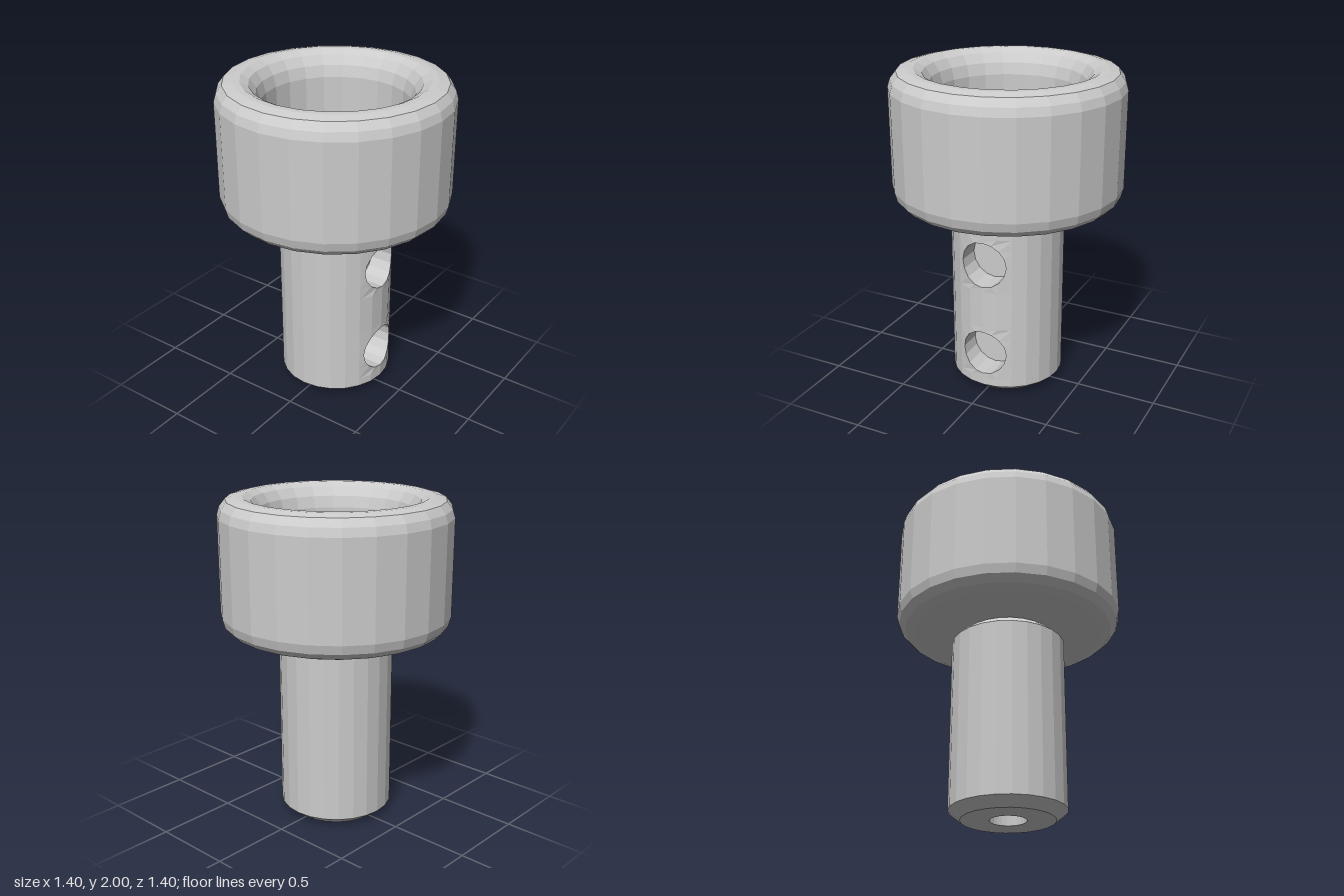
import * as THREE from 'three';
import { mergeGeometries } from 'three/addons/utils/BufferGeometryUtils.js';

const material = new THREE.MeshStandardMaterial({ color: 0xcccccc, flatShading: true });
const SEG = 24, STEP = (Math.PI * 2) / SEG;
const R = 0.35; // stem radius
const HALF = R * Math.sin(2 * STEP); // half size of the patch around a side hole

const lathe = (points, first = 0, count = SEG) => new THREE.LatheGeometry(
  points.map(([r, y]) => new THREE.Vector2(r, y)), count, first * STEP, count * STEP);

const mesh = (name, geometry) => {
  const m = new THREE.Mesh(geometry, material);
  m.name = name;
  return m;
};

// Joins loops of equal length, each running anticlockwise seen from +z
function loft(loops) {
  const n = loops[0].length, index = [];
  for (let k = 0; k < loops.length - 1; k++) {
    for (let i = 0; i < n; i++) {
      const j = (i + 1) % n, a = k * n + i, b = k * n + j;
      index.push(a, b, b + n, a, b + n, a + n);
    }
  }
  const g = new THREE.BufferGeometry();
  g.setAttribute('position', new THREE.Float32BufferAttribute(loops.flat(2), 3));
  g.setIndex(index);
  g.computeVertexNormals();
  return g;
}

// Square piece of the stem wall with a blind round hole in it
function holePatch(cy) {
  const onWall = (x, y) => [x, y, Math.sqrt(R * R - x * x)];
  const mid = R * Math.sin(STEP), square = [], rim = [], floor = [], centre = [];
  const steps = [0, mid, HALF, HALF, HALF, HALF, HALF, mid]; // quarter-symmetric walk
  const coord = i => {
    const k = ((i % 16) + 16) % 16;
    return k <= 2 ? HALF : k === 3 ? mid : k === 4 ? 0 : k === 5 ? -mid
      : k <= 10 ? -HALF : k === 11 ? -mid : k === 12 ? 0 : k === 13 ? mid : HALF;
  };
  for (let i = 0; i < 16; i++) {
    const a = (i * Math.PI) / 8, x = 0.145 * Math.cos(a), y = cy + 0.145 * Math.sin(a);
    square.push(onWall(coord(i), cy + coord(i - 4)));
    rim.push(onWall(x, y));
    floor.push([x, y, 0.18]);
    centre.push([0, cy, 0.18]);
  }
  return loft([square, rim, floor, centre]);
}

export function createModel() {
  const model = new THREE.Group();
  model.name = 'socketScrew';

  // Rounded cup head with a deep round socket and a small chamfered bore
  model.add(mesh('head', lathe([
    [0.11, 1.185], [0.59, 1.185], [0.645, 1.205], [0.685, 1.245], [0.7, 1.3],
    [0.7, 1.89], [0.685, 1.94], [0.65, 1.985], [0.59, 2],
    [0.55, 2], [0.5, 1.975], [0.46, 1.92], [0.44, 1.85],
    [0.435, 1.4], [0.15, 1.4], [0.11, 1.35], [0.11, 1.185],
  ])));

  // Stem: chamfered ends and bore, plain wall, and the front wall with two holes
  const holes = [0.28, 0.875];
  const bands = [[0.055, holes[0] - HALF], [holes[0] + HALF, holes[1] - HALF], [holes[1] + HALF, 1.115]];
  const stem = new THREE.Group();
  stem.name = 'stem';
  stem.add(
    mesh('stemEndsAndBore', lathe([
      [R, 1.115], [0.285, 1.17], [0.11, 1.17], [0.11, 0], [0.28, 0], [R, 0.055],
    ])),
    mesh('stemWall', lathe([[R, 0.055], [R, 1.115]], 2, SEG - 4)),
    mesh('stemFrontBands', mergeGeometries(bands.map(([a, b]) => lathe([[R, a], [R, b]], -2, 4)))),
  );
  holes.forEach(y => stem.add(mesh('sideHole', holePatch(y))));
  model.add(stem);
  return model;
}
